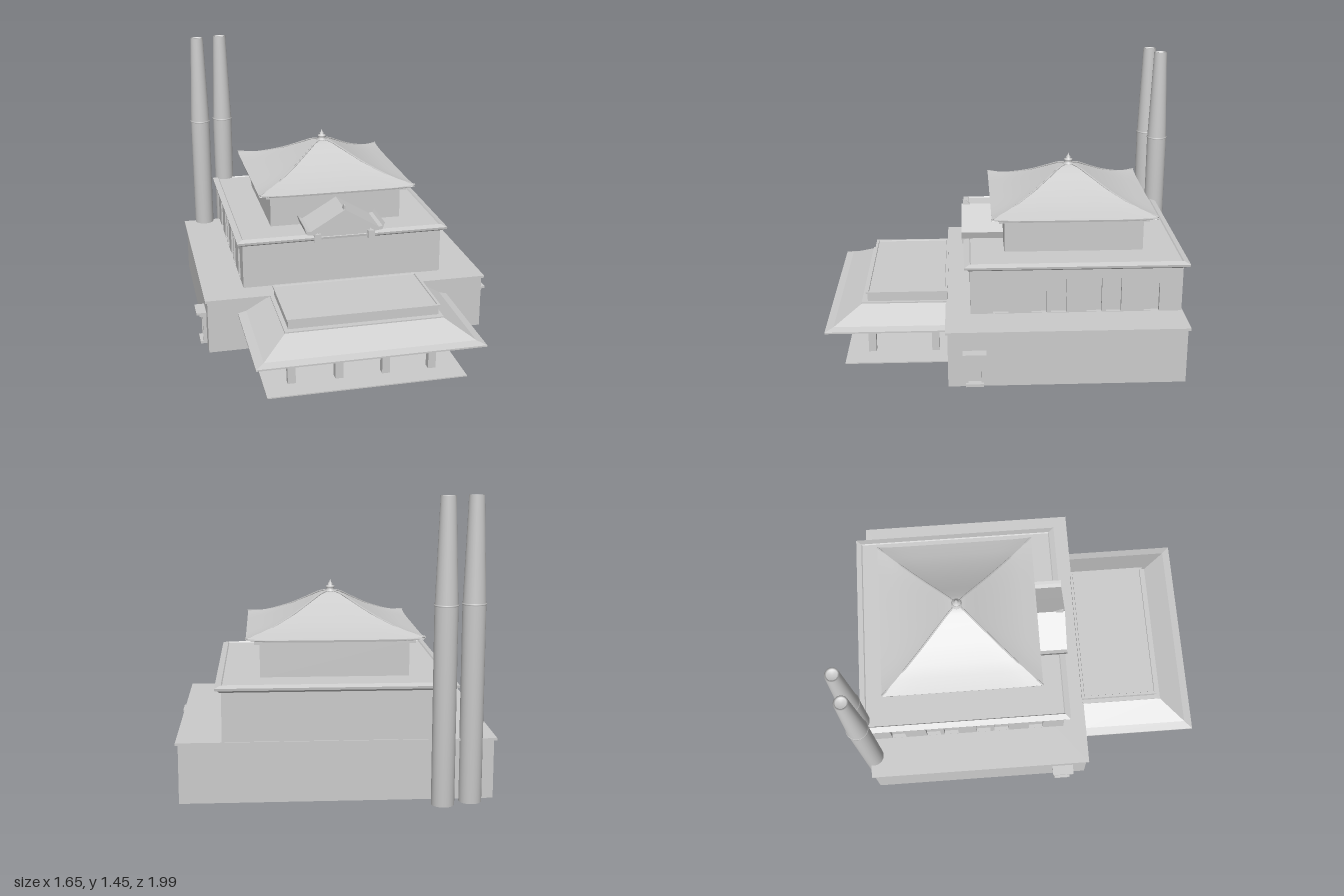
import * as THREE from 'three';

const material = new THREE.MeshStandardMaterial({ color: 0xcccccc, side: THREE.DoubleSide });
const flat = new THREE.MeshStandardMaterial({ color: 0xcccccc, side: THREE.DoubleSide, flatShading: true });

function add(parent, name, geometry, x = 0, y = 0, z = 0, mat = material) {
  const mesh = new THREE.Mesh(geometry, mat);
  mesh.name = name;
  mesh.position.set(x, y, z);
  parent.add(mesh);
  return mesh;
}

// Box given by its ranges on each axis
function box(parent, name, x0, x1, y0, y1, z0, z1) {
  return add(parent, name, new THREE.BoxGeometry(x1 - x0, y1 - y0, z1 - z0),
    (x0 + x1) / 2, (y0 + y1) / 2, (z0 + z1) / 2);
}

// Stack of rectangles, each [x0, x1, z0, z1, y], joined by flat sides
function stack(parent, name, sections, capBottom = true, capTop = true) {
  const pos = [], idx = [];
  for (const [x0, x1, z0, z1, y] of sections) pos.push(x0, y, z1, x1, y, z1, x1, y, z0, x0, y, z0);
  for (let i = 0; i < sections.length - 1; i++) {
    for (let k = 0; k < 4; k++) {
      const a = i * 4 + k, b = i * 4 + (k + 1) % 4;
      idx.push(a, b, b + 4, a, b + 4, a + 4);
    }
  }
  const t = (sections.length - 1) * 4;
  if (capBottom) idx.push(0, 2, 1, 0, 3, 2);
  if (capTop) idx.push(t, t + 1, t + 2, t, t + 2, t + 3);
  const g = new THREE.BufferGeometry();
  g.setAttribute('position', new THREE.Float32BufferAttribute(pos, 3));
  g.setIndex(idx);
  const split = g.toNonIndexed();
  split.computeVertexNormals();
  return add(parent, name, split, 0, 0, 0, flat);
}

const square = (h, y, cz = -0.06) => [-h, h, cz - h, cz + h, y];

// One quarter of a sweeping tent roof; eave corners lift upward
function roofSide(profile, lift) {
  const n = 16, rows = profile.length, pos = [], idx = [];
  profile.forEach(([h, y], r) => {
    const fade = (1 - r / (rows - 1)) ** 3;
    for (let i = 0; i <= n; i++) {
      const s = (i / n) * 2 - 1;
      pos.push(s * h, y + lift * fade * s ** 6, h);
    }
  });
  for (let r = 0; r < rows - 1; r++) {
    for (let i = 0; i < n; i++) {
      const a = r * (n + 1) + i, b = a + n + 1;
      idx.push(a, a + 1, b + 1, a, b + 1, b);
    }
  }
  const g = new THREE.BufferGeometry();
  g.setAttribute('position', new THREE.Float32BufferAttribute(pos, 3));
  g.setIndex(idx);
  g.computeVertexNormals();
  return g;
}

// Side wall of the middle storey with arched and square recesses
function windowWall() {
  const shape = new THREE.Shape();
  shape.moveTo(-0.54, 0.3).lineTo(0.54, 0.3).lineTo(0.54, 0.56).lineTo(-0.54, 0.56).closePath();
  for (const [c, arched] of [[-0.385, 1], [-0.19, 0], [-0.09, 0], [0.09, 0], [0.19, 0], [0.385, 1]]) {
    const w = 0.039, hole = new THREE.Path();
    hole.moveTo(c - w, 0.312).lineTo(c + w, 0.312);
    if (arched) hole.lineTo(c + w, 0.45).absarc(c, 0.45, w, 0, Math.PI, false);
    else hole.lineTo(c + w, 0.495).lineTo(c - w, 0.495);
    hole.closePath();
    shape.holes.push(hole);
  }
  return new THREE.ExtrudeGeometry(shape, { depth: 0.02, bevelEnabled: false, curveSegments: 10 });
}

export function createModel() {
  const model = new THREE.Group();
  model.name = 'hall';
  const hall = new THREE.Group();
  hall.name = 'building';
  hall.position.set(0.011, 0, -0.27);
  hall.rotation.y = -0.0865;
  model.add(hall);

  // Ground storey, open below, with its terrace slab
  stack(hall, 'baseWalls', [[-0.745, 0.745, -0.595, 0.595, 0.012], [-0.745, 0.745, -0.595, 0.595, 0.3]], false, false);
  box(hall, 'terraceSlab', -0.757, 0.757, 0.298, 0.31, -0.607, 0.607);

  // Small side doorways with canopy and sill
  for (const s of [-1, 1]) {
    const door = new THREE.Group();
    door.name = s > 0 ? 'leftDoorway' : 'rightDoorway';
    door.position.set(s * 0.745, 0, 0.463);
    hall.add(door);
    const out = (name, d, y0, y1, z0, z1) => box(door, name, Math.min(0, s * d), Math.max(0, s * d), y0, y1, z0, z1);
    out('canopy', 0.052, 0.195, 0.207, -0.058, 0.058);
    out('canopyBracket', 0.036, 0.18, 0.195, -0.047, 0.047);
    out('sill', 0.035, 0.025, 0.04, -0.045, 0.045);
    for (const z of [-0.038, 0.038]) out('jamb', 0.018, 0.04, 0.18, z - 0.006, z + 0.006);
  }

  // Middle storey
  box(hall, 'middleStorey', -0.52, 0.52, 0.305, 0.56, -0.6, 0.48);
  for (const s of [-1, 1]) {
    const wall = add(hall, s > 0 ? 'leftWindowWall' : 'rightWindowWall', windowWall(), s * 0.52, 0, -0.06);
    wall.rotation.y = s * Math.PI / 2;
  }
  stack(hall, 'middleCornice', [square(0.548, 0.548), square(0.556, 0.558), square(0.568, 0.56),
    square(0.57, 0.572), square(0.54, 0.582), square(0.535, 0.576)]);

  // Upper storey
  box(hall, 'upperStorey', -0.36, 0.36, 0.57, 0.745, -0.42, 0.3);
  box(hall, 'upperCornice', -0.387, 0.387, 0.74, 0.756, -0.447, 0.327);

  // Tent roof: soffit, edge and concave slope on every side
  const roof = new THREE.Group();
  roof.name = 'mainRoof';
  roof.position.z = -0.06;
  hall.add(roof);
  const profile = [[0.38, 0.754], [0.424, 0.756], [0.426, 0.766], [0.35, 0.786], [0.28, 0.811],
    [0.19, 0.852], [0.1, 0.904], [0.05, 0.933], [0.02, 0.942]];
  for (let k = 0; k < 4; k++) {
    const turn = k * Math.PI / 2;
    add(roof, 'soffit', roofSide(profile.slice(0, 2).reverse(), 0.012)).rotation.y = turn;
    add(roof, 'eaveEdge', roofSide(profile.slice(1, 3), 0.012), 0, 0, 0, flat).rotation.y = turn;
    add(roof, 'roofSlope', roofSide(profile.slice(2), 0.012)).rotation.y = turn;
    // Hip ridge along each corner
    const pts = profile.slice(2).map(([h, y], i) => new THREE.Vector3(h, y + (i ? 0.002 : 0.011), h));
    add(roof, 'hipRidge', new THREE.TubeGeometry(new THREE.CatmullRomCurve3(pts), 20, 0.005, 5)).rotation.y = turn;
  }
  const finial = [[0, 0.93], [0.028, 0.935], [0.03, 0.945], [0.016, 0.952], [0.022, 0.962], [0.022, 0.968],
    [0.01, 0.974], [0.012, 0.982], [0.005, 0.988], [0, 1.005]];
  add(roof, 'finial', new THREE.LatheGeometry(finial.map(p => new THREE.Vector2(...p)), 12));

  // Front gable over the middle storey
  const body = new THREE.Shape();
  body.moveTo(-0.14, 0.545).lineTo(0.14, 0.545).lineTo(0.14, 0.612).lineTo(0, 0.695).lineTo(-0.14, 0.612).closePath();
  add(hall, 'gableBody', new THREE.ExtrudeGeometry(body, { depth: 0.205, bevelEnabled: false }), 0, 0, 0.3);
  const top = [[0.217, 0.632], [0.205, 0.615], [0.185, 0.61], [0.1, 0.66], [0, 0.72]];
  const under = [[0, 0.692], [0.1, 0.632], [0.165, 0.59], [0.205, 0.595]];
  const flip = list => list.slice().reverse().map(([x, y]) => [-x, y]);
  const outline = [...top, ...flip(top).slice(1), ...flip(under), ...under.slice(1)];
  const gable = new THREE.Shape(outline.map(p => new THREE.Vector2(...p)));
  add(hall, 'gableRoof', new THREE.ExtrudeGeometry(gable, { depth: 0.225, bevelEnabled: false }), 0, 0, 0.295);
  stack(hall, 'ridgeOrnament', [[-0.006, 0.006, 0.47, 0.51, 0.715], [-0.003, 0.003, 0.495, 0.512, 0.742]]);
  for (const s of [-1, 1]) box(hall, 'gableBracket', s * 0.145 - 0.018, s * 0.145 + 0.018, 0.55, 0.592, 0.46, 0.52);

  // Entrance porch
  const porch = new THREE.Group();
  porch.name = 'porch';
  hall.add(porch);
  box(porch, 'porchFloor', -0.525, 0.483, 0.012, 0.018, 0.595, 1.132);
  const post = (x, z) => {
    box(porch, 'porchPost', x - 0.02, x + 0.02, 0.018, 0.19, z - 0.02, z + 0.02);
    box(porch, 'postCapital', x - 0.025, x + 0.025, 0.19, 0.212, z - 0.025, z + 0.038);
  };
  const columns = [-0.385, -0.145, 0.095, 0.335];
  columns.forEach(x => post(x, 1.0));
  for (const x of [columns[0], columns[3]]) post(x, 0.665);
  box(porch, 'porchBeam', -0.405, 0.355, 0.18, 0.218, 0.595, 1.02);
  stack(porch, 'porchRoof', [[-0.588, 0.546, 0.6, 1.222, 0.215], [-0.588, 0.546, 0.6, 1.222, 0.223],
    [-0.545, 0.505, 0.6, 1.18, 0.234], [-0.42, 0.38, 0.6, 1.045, 0.306], [-0.42, 0.38, 0.6, 1.045, 0.312],
    [-0.398, 0.362, 0.6, 1.014, 0.312], [-0.398, 0.362, 0.6, 1.014, 0.354], [-0.405, 0.37, 0.597, 1.022, 0.356],
    [-0.405, 0.37, 0.597, 1.022, 0.365], [-0.392, 0.357, 0.61, 1.009, 0.365], [-0.39, 0.355, 0.612, 1.007, 0.359]]);

  // Pair of tapering chimneys
  const stackProfile = [[0, 0], [0.055, 0], [0.055, 0.947], [0.058, 0.949], [0.058, 0.955], [0.054, 0.957],
    [0.036, 1.452], [0.028, 1.452], [0.028, 1.44], [0, 1.44]].map(p => new THREE.Vector2(...p));
  for (const [x, z] of [[-0.57, -0.915], [-0.43, -0.942]]) {
    add(model, 'chimney', new THREE.LatheGeometry(stackProfile, 24), x, 0, z);
  }
  return model;
}
